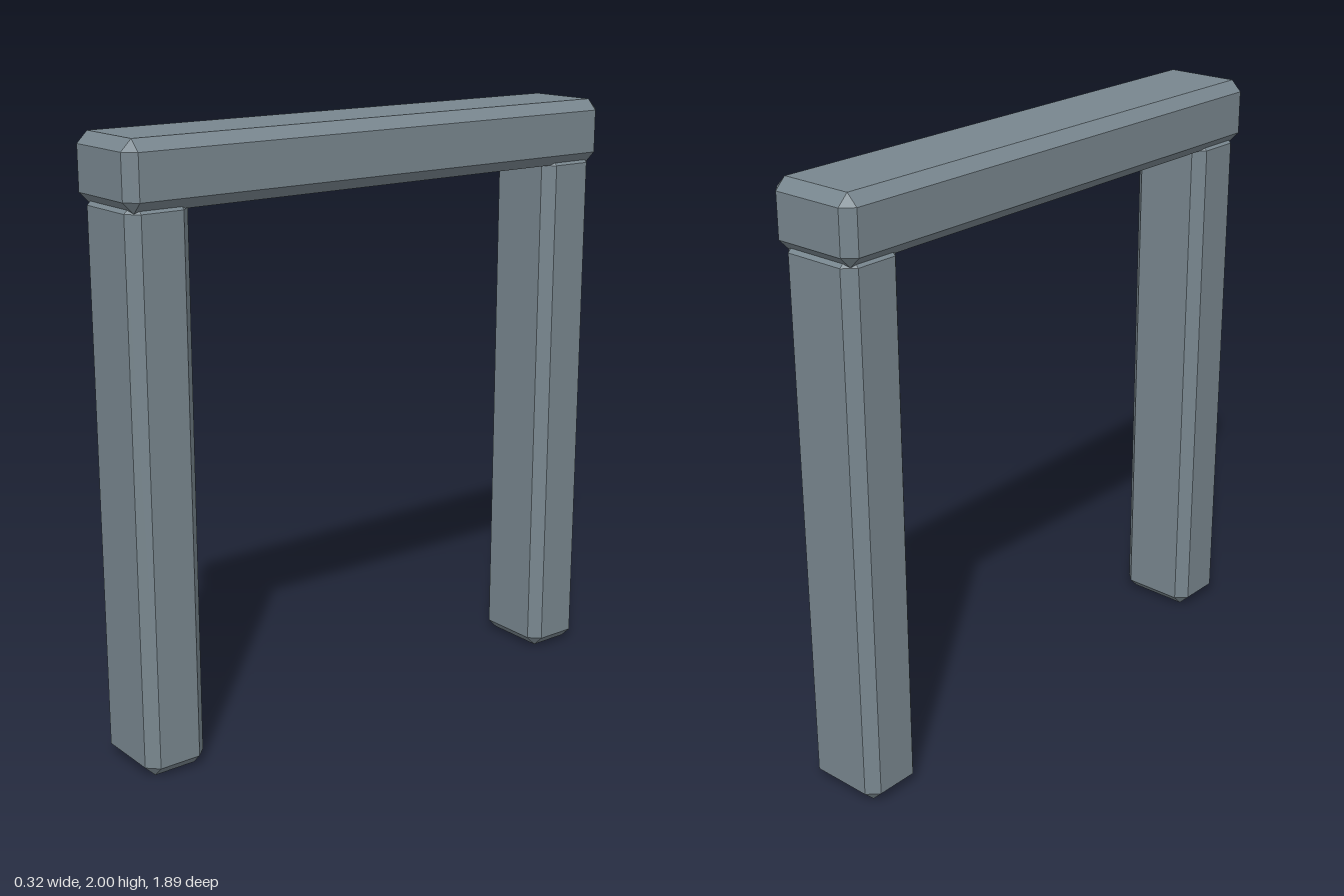
import * as THREE from 'three';
import { ConvexGeometry } from 'three/addons/geometries/ConvexGeometry.js';

// Box with flat chamfers on every edge and small triangular corners
function chamferedBox(width, height, depth, bevel) {
  const half = [width / 2, height / 2, depth / 2];
  const points = [];
  for (const sx of [-1, 1]) for (const sy of [-1, 1]) for (const sz of [-1, 1]) {
    const signs = [sx, sy, sz];
    for (let face = 0; face < 3; face++) {
      const p = half.map((h, axis) => signs[axis] * (axis === face ? h : h - bevel));
      points.push(new THREE.Vector3(...p));
    }
  }
  return new ConvexGeometry(points);
}

export function createModel() {
  const model = new THREE.Group();
  model.name = 'gateway';

  const stone = new THREE.MeshStandardMaterial({ color: 0x78868e });
  stone.name = 'blue grey stone';
  const bevel = 0.036;

  // Crossbeam
  const beam = new THREE.Mesh(chamferedBox(0.324, 0.215, 1.886, bevel), stone);
  beam.name = 'crossbeam';
  beam.position.y = 1.8925;
  model.add(beam);

  // Two posts, their tops let into the beam
  const postGeometry = chamferedBox(0.284, 1.82, 0.215, bevel);
  for (const side of [1, -1]) {
    const post = new THREE.Mesh(postGeometry, stone);
    post.name = side > 0 ? 'frontPost' : 'backPost';
    post.position.set(0, 0.91, side * 0.821);
    model.add(post);
  }

  return model;
}
